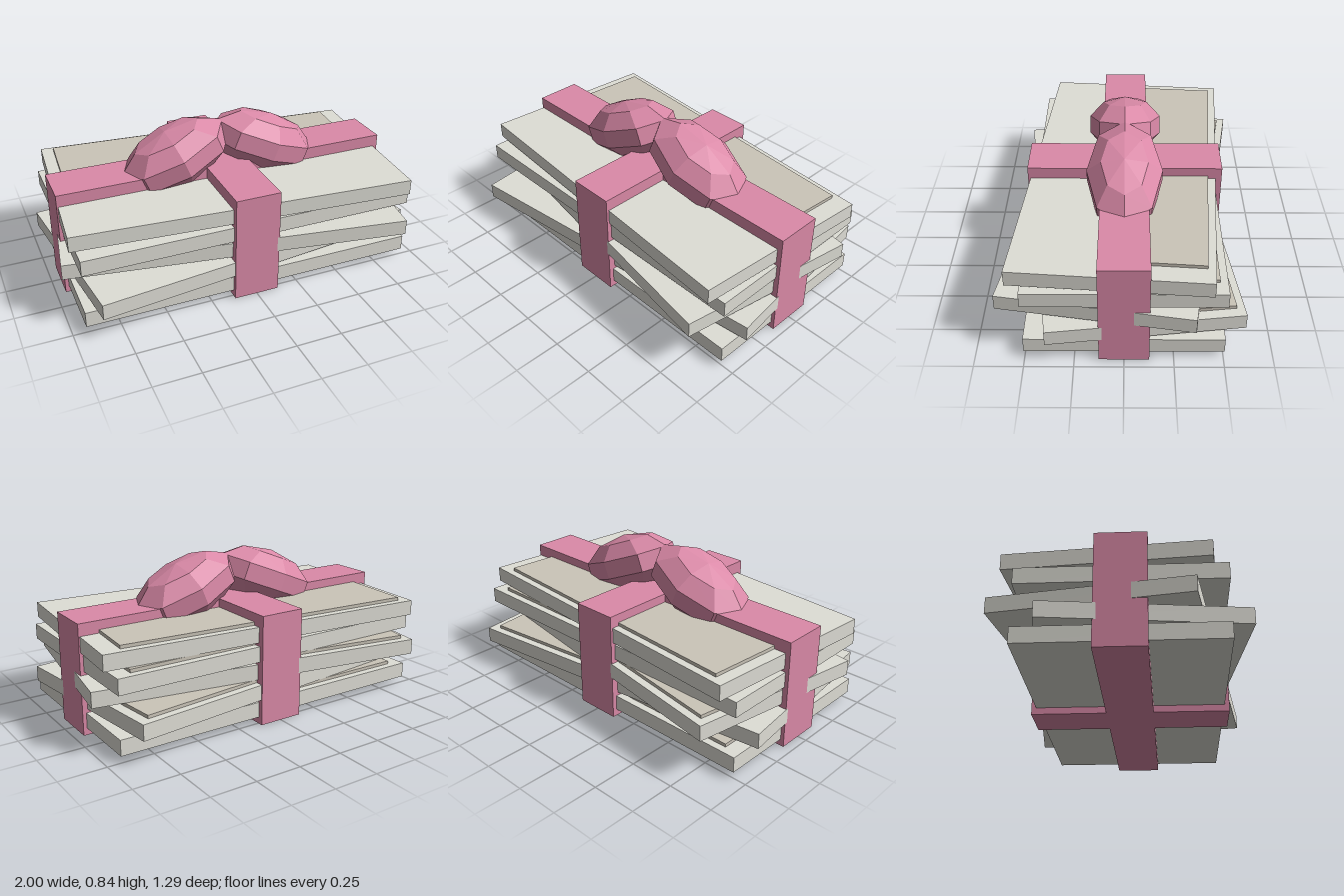
import * as THREE from 'three';

const paint = (color) => new THREE.MeshStandardMaterial({ color, flatShading: true });

export function createModel() {
  const model = new THREE.Group();
  const slabMat = paint(0xdfded6);
  const panelMat = paint(0xcbc5b9);
  const ribbonMat = paint(0xdb8aa8);

  const box = (parent, name, mat, size, pos) => {
    const mesh = new THREE.Mesh(new THREE.BoxGeometry(...size), mat);
    mesh.name = name;
    mesh.position.set(...pos);
    parent.add(mesh);
    return mesh;
  };

  // Stack of five slabs, each twisted a little, with a thin panel on its rear half
  const twists = [0, 0.12, -0.16, 0, -0.078];
  twists.forEach((twist, i) => {
    const layer = new THREE.Group();
    layer.name = 'layer' + (i + 1);
    const y = 0.079 + i * 0.102;
    box(layer, 'slab', slabMat, [1.86, 0.084, 1.01], [0, y, 0]).rotation.y = twist;
    box(layer, 'panel', panelMat, [1.69, 0.02, 0.45], [0, y + 0.05, -0.24]).rotation.y = twist;
    model.add(layer);
  });

  // Crossed ribbon bands running right through the stack
  box(model, 'longRibbon', ribbonMat, [1.9, 0.595, 0.254], [0, 0.2975, 0]);
  box(model, 'crossRibbon', ribbonMat, [0.25, 0.595, 1.06], [0, 0.2975, 0]);

  // Bow: two faceted lobes drooping outwards
  const bow = new THREE.Group();
  bow.name = 'bow';
  for (const side of [1, -1]) {
    const lobe = new THREE.Mesh(new THREE.SphereGeometry(1, 8, 5), ribbonMat);
    lobe.name = side > 0 ? 'leftBowLobe' : 'rightBowLobe';
    lobe.scale.set(0.333, 0.16, 0.21);
    lobe.rotation.z = -side * 0.393;
    lobe.position.set(side * 0.258, 0.641, 0);
    bow.add(lobe);
  }
  model.add(bow);
  return model;
}
